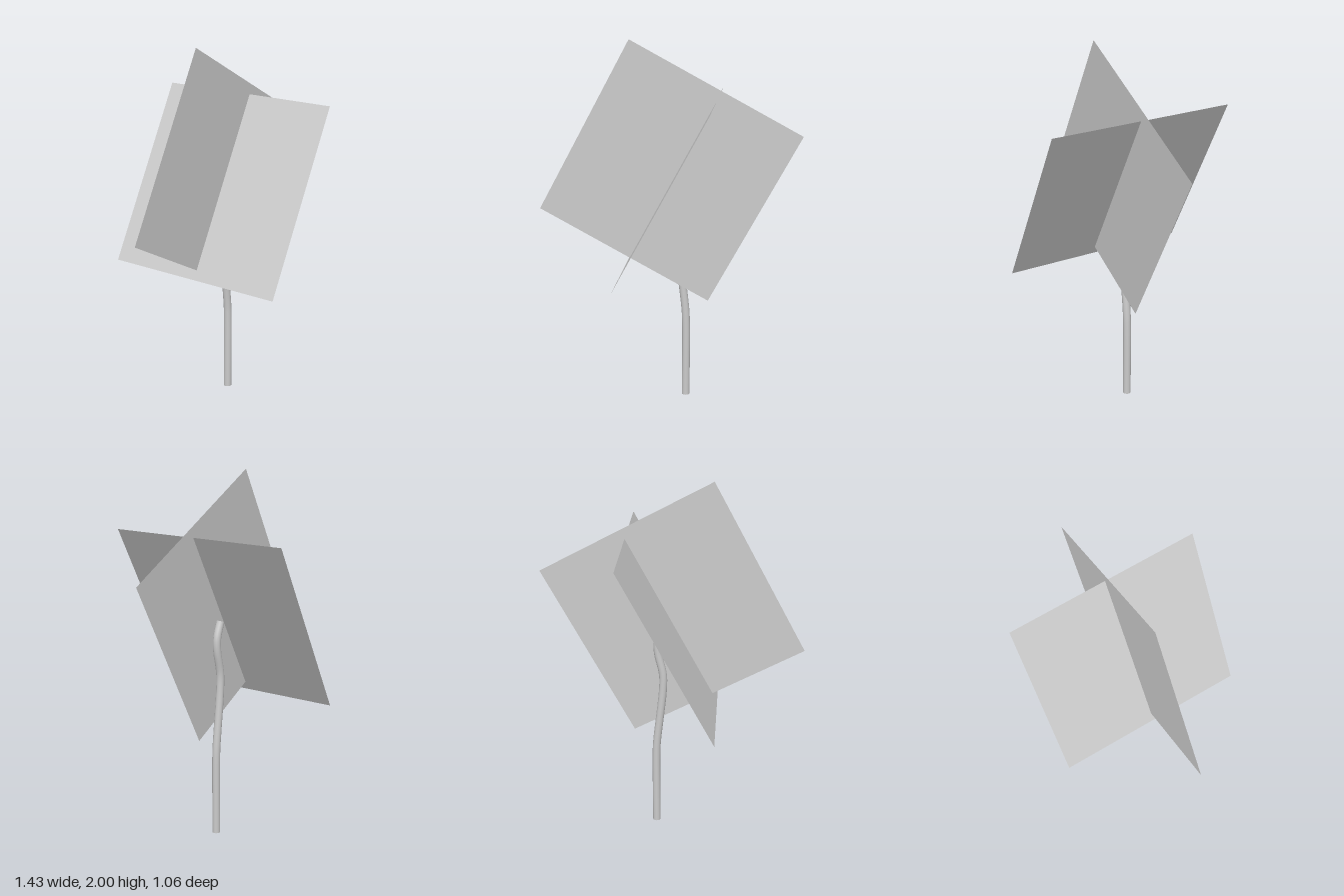
import * as THREE from 'three';

export function createModel() {
  const model = new THREE.Group();
  const cardMaterial = new THREE.MeshStandardMaterial({ color: 0xcccccc, side: THREE.DoubleSide });
  const stemMaterial = new THREE.MeshStandardMaterial({ color: 0xcccccc });
  const size = 1.058;
  const tilt = -0.494;

  // Two crossed square foliage cards, leaning together towards +x
  function addCard(name, turn, x, y, z) {
    const geometry = new THREE.PlaneGeometry(size, size);
    geometry.rotateY(turn).rotateZ(tilt);
    const card = new THREE.Mesh(geometry, cardMaterial);
    card.name = name;
    card.position.set(x, y, z);
    model.add(card);
  }
  addCard('frontFoliageCard', 0, -0.002, 1.285, 0.015);
  addCard('sideFoliageCard', Math.PI / 2, 0.003, 1.22, 0);

  // Slender stem: straight below, gently crooked above
  const radius = 0.022;
  const stemZ = -0.008;
  const path = new THREE.CatmullRomCurve3([
    [0.09, 0], [0.09, 0.43], [0.087, 0.5], [0.052, 0.83], [0.052, 0.92],
    [0.079, 1.05], [0.079, 1.12], [0.048, 1.208],
  ].map(([x, y]) => new THREE.Vector3(x, y, stemZ)));
  const stem = new THREE.Group();
  stem.name = 'stem';
  const shaft = new THREE.Mesh(new THREE.TubeGeometry(path, 48, radius, 12), stemMaterial);
  shaft.name = 'stemShaft';
  stem.add(shaft);

  // Flat discs close both ends of the stem
  for (const [name, t, sign] of [['stemBase', 0, -1], ['stemTip', 1, 1]]) {
    const cap = new THREE.Mesh(new THREE.CircleGeometry(radius, 12), stemMaterial);
    cap.name = name;
    cap.position.copy(path.getPointAt(t));
    cap.quaternion.setFromUnitVectors(
      new THREE.Vector3(0, 0, 1), path.getTangentAt(t).multiplyScalar(sign));
    stem.add(cap);
  }
  model.add(stem);
  return model;
}
